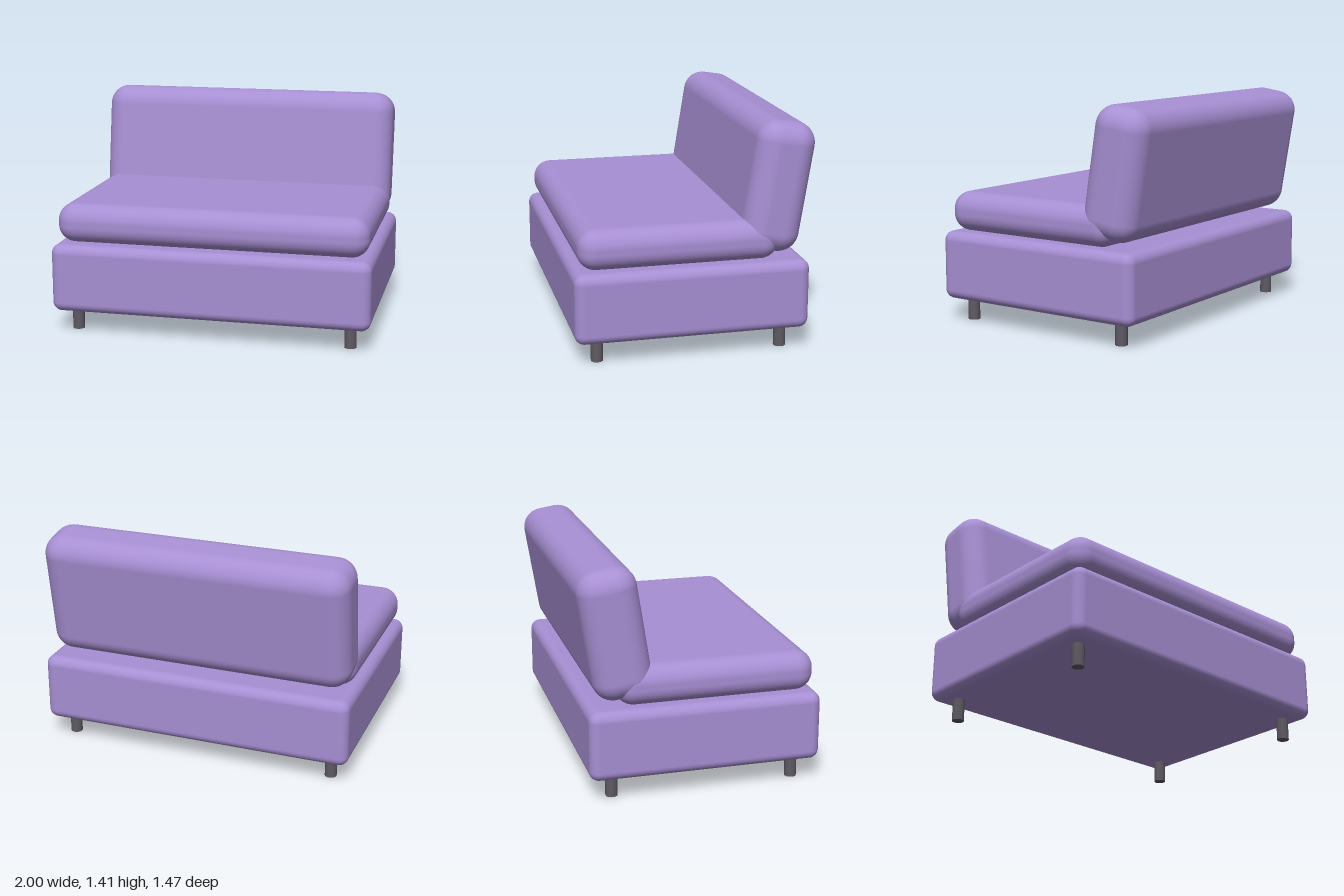
import * as THREE from 'three';
import { RoundedBoxGeometry } from 'three/addons/geometries/RoundedBoxGeometry.js';

export function createModel() {
  const sofa = new THREE.Group();
  sofa.name = 'armlessSofa';

  const fabric = new THREE.MeshStandardMaterial({ color: 0xa78fd3 });
  fabric.name = 'purple fabric';
  const legMaterial = new THREE.MeshStandardMaterial({ color: 0x5e5a63 });
  legMaterial.name = 'dark grey legs';

  // Soft-edged upholstered block
  function block(name, w, h, d, radius, y, z) {
    const mesh = new THREE.Mesh(new RoundedBoxGeometry(w, h, d, 8, radius), fabric);
    mesh.name = name;
    mesh.position.set(0, y, z);
    sofa.add(mesh);
    return mesh;
  }

  block('base', 2, 0.43, 1.43, 0.06, 0.352, 0.02);
  block('seatCushion', 1.95, 0.247, 1.22, 0.11, 0.692, 0.092);

  // Backrest leans backwards into the seat cushion
  const backrest = block('backrest', 1.95, 0.795, 0.36, 0.127, 1.003, -0.515);
  backrest.rotation.x = -0.158;

  // Four short round legs
  const legGeometry = new THREE.CylinderGeometry(0.037, 0.037, 0.16, 24);
  for (const x of [-0.868, 0.868]) {
    for (const z of [0.59, -0.545]) {
      const leg = new THREE.Mesh(legGeometry, legMaterial);
      leg.name = (z > 0 ? 'front' : 'back') + (x > 0 ? 'Left' : 'Right') + 'Leg';
      leg.position.set(x, 0.08, z);
      sofa.add(leg);
    }
  }
  return sofa;
}
